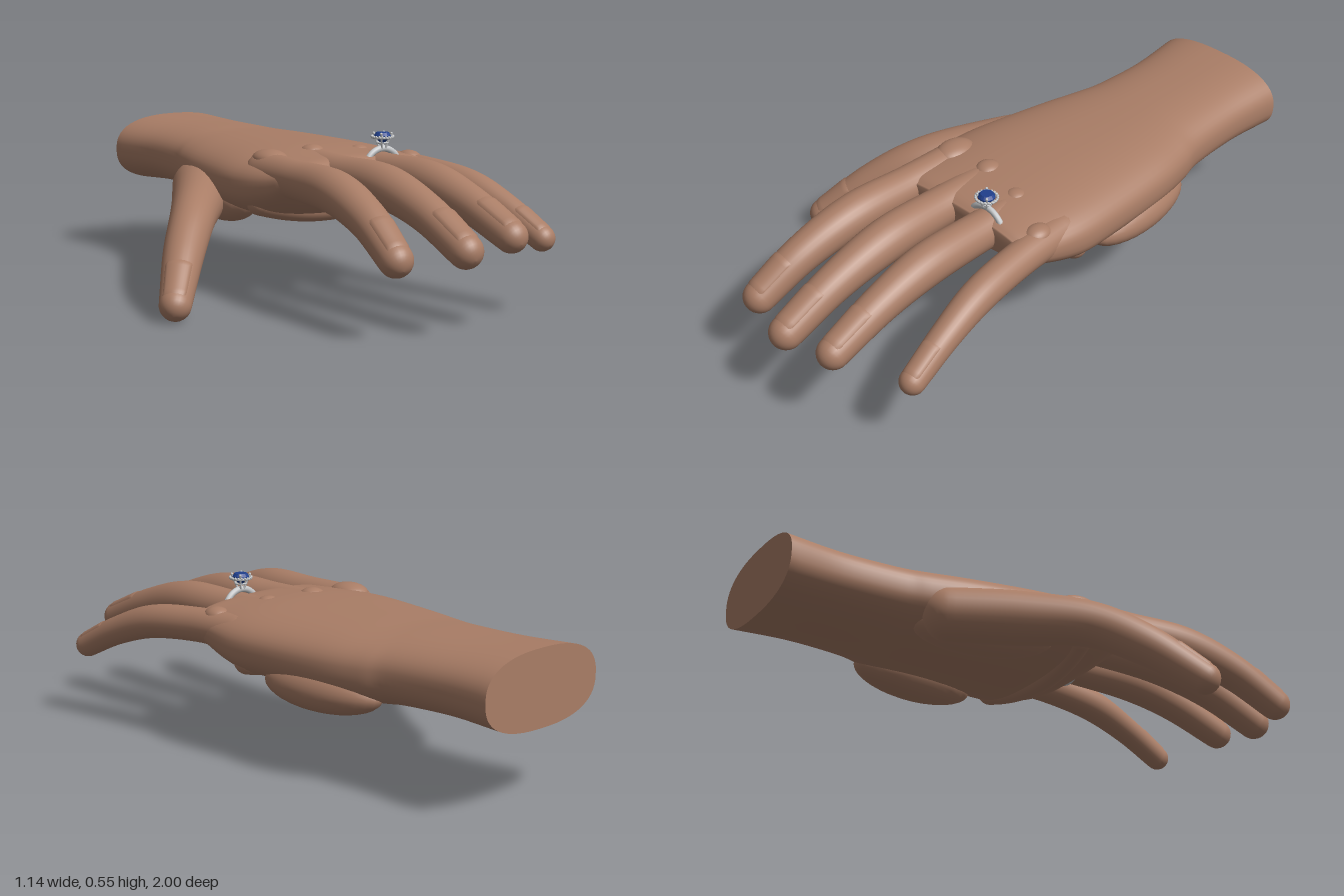
import * as THREE from 'three';

const V = (x, y, z) => new THREE.Vector3(x, y, z);
const skin = new THREE.MeshStandardMaterial({ color: 0xa97d66 });
const silver = new THREE.MeshStandardMaterial({ color: 0xc4c6c8 });
const sapphire = new THREE.MeshStandardMaterial({ color: 0x1f3f8c });
skin.name = 'skin'; silver.name = 'silver'; sapphire.name = 'sapphire';

function add(parent, name, geo, mat, pos) {
  const m = new THREE.Mesh(geo, mat);
  m.name = name;
  if (pos) m.position.copy(pos);
  parent.add(m);
  return m;
}

// Skin over a list of cross-sections with equal point counts
function loft(rings, closed = true) {
  const n = rings[0].length, idx = [];
  for (let i = 0; i < rings.length - 1; i++)
    for (let j = 0; j < (closed ? n : n - 1); j++) {
      const k = (j + 1) % n, a = i * n + j, b = i * n + k, c = b + n, d = a + n;
      idx.push(a, b, c, a, c, d);
    }
  const g = new THREE.BufferGeometry().setFromPoints(rings.flat());
  g.setIndex(idx);
  g.computeVertexNormals();
  return g;
}

// Points of a finger section: centre, direction, radius, angle range
function section(c, t, r, a0 = 0, a1 = Math.PI * 2, n = 28, open = false) {
  const side = V(0, 1, 0).cross(t).normalize();
  const up = t.clone().cross(side);
  return Array.from({ length: n }, (_, j) => {
    const a = a0 + (a1 - a0) * j / (open ? n - 1 : n);
    return c.clone().addScaledVector(side, r * Math.cos(a)).addScaledVector(up, r * Math.sin(a));
  });
}

// Finger along points [x, y, z, radius], rounded at both ends, with a raised nail
function finger(parent, name, pts, nailFrom) {
  const group = new THREE.Group();
  group.name = name;
  parent.add(group);
  const path = new THREE.CatmullRomCurve3(pts.map(p => V(p[0], p[1], p[2])), false, 'catmullrom');
  const radii = new THREE.CatmullRomCurve3(pts.map(p => V(p[3], 0, 0)), false, 'catmullrom');
  const at = u => [path.getPoint(u), path.getTangent(u), radii.getPoint(u).x];
  const rings = [];
  const dome = (u, k, dir) => {
    const [c, t, r] = at(u), a = k / 8 * Math.PI / 2;
    rings.push(section(c.addScaledVector(t, dir * r * Math.sin(a)), t, Math.max(r * Math.cos(a), 1e-5)));
  };
  for (let k = 8; k > 0; k--) dome(0, k, -1);
  for (let i = 0; i <= 40; i++) rings.push(section(...at(i / 40)));
  for (let k = 1; k <= 8; k++) dome(1, k, 1);
  add(group, name + 'Flesh', loft(rings), skin);

  const nail = [];
  for (let i = 0; i <= 12; i++) {
    const [c, t, r] = at(nailFrom + (1 - nailFrom) * i / 12);
    const edge = i === 0 || i === 12;
    const arc = section(c, t, r, Math.PI * 0.24, Math.PI * 0.76, 13, true);
    arc.forEach((p, j) => p.sub(c).multiplyScalar(edge || j === 0 || j === 12 ? 0.98 : 1.05).add(c));
    nail.push(arc);
  }
  add(group, name + 'Nail', loft(nail, false), skin);
}

function ellipsoid(parent, name, p, s, yaw = 0) {
  const m = add(parent, name, new THREE.SphereGeometry(1, 28, 18), skin, V(...p));
  m.scale.set(...s);
  m.rotation.y = yaw;
}

// Forearm and palm: rounded sections [z, x0, x1, y0, y1]
function buildPalm(parent) {
  const rows = [
    [-1, -0.03, 0.48, 0.255, 0.503], [-0.8, -0.01, 0.47, 0.265, 0.497],
    [-0.6, -0.022, 0.478, 0.26, 0.495], [-0.5, -0.05, 0.5, 0.252, 0.493],
    [-0.35, -0.09, 0.525, 0.25, 0.495], [-0.1, -0.14, 0.54, 0.25, 0.497],
    [0.05, -0.145, 0.54, 0.255, 0.495], [0.18, -0.127, 0.52, 0.295, 0.486],
    [0.25, -0.11, 0.505, 0.34, 0.478], [0.285, -0.07, 0.47, 0.37, 0.462],
  ];
  const xs = new THREE.CatmullRomCurve3(rows.map(r => V(r[1], r[2], r[0])), false, 'catmullrom');
  const ys = new THREE.CatmullRomCurve3(rows.map(r => V(r[3], r[4], r[0])), false, 'catmullrom');
  const ring = (u, s = 1) => {
    const a = xs.getPoint(u), b = ys.getPoint(u);
    return Array.from({ length: 56 }, (_, j) => {
      const q = j / 56 * Math.PI * 2, c = Math.cos(q), d = Math.sin(q);
      const round = v => Math.sign(v) * Math.pow(Math.abs(v), 0.8);
      return V((a.x + a.y) / 2 + s * round(c) * (a.y - a.x) / 2,
        (b.x + b.y) / 2 + s * round(d) * (b.y - b.x) / 2, a.z);
    });
  };
  const rings = Array.from({ length: 55 }, (_, i) => ring(i / 54));
  add(parent, 'palmAndForearm', loft([...rings, ring(1, 0.5), ring(1, 1e-4)]), skin);
  add(parent, 'wristCap', loft([ring(0, 1e-4), ring(0)]), skin);
}

function buildRing(parent) {
  const g = new THREE.Group();
  g.name = 'ring';
  g.position.set(0.295, 0, 0.255);
  parent.add(g);
  const band = add(g, 'band', new THREE.TorusGeometry(0.073, 0.011, 12, 64), silver, V(0, 0.424, 0));
  band.scale.z = 0.9;
  // Basket: four slanted prongs and a small collar
  for (let i = 0; i < 4; i++) {
    const a = Math.PI / 4 + i * Math.PI / 2, c = Math.cos(a), s = Math.sin(a);
    const prong = new THREE.LineCurve3(V(c * 0.01, 0.498, s * 0.01), V(c * 0.031, 0.549, s * 0.031));
    add(g, 'prong', new THREE.TubeGeometry(prong, 1, 0.0035, 8), silver);
    add(g, 'prongTip', new THREE.SphereGeometry(0.0045, 10, 8), silver, V(c * 0.03, 0.549, s * 0.03));
  }
  const flatRing = (name, r, t, y) => {
    add(g, name, new THREE.TorusGeometry(r, t, 8, 40).rotateX(Math.PI / 2), silver, V(0, y, 0));
  };
  flatRing('collar', 0.019, 0.003, 0.517);
  flatRing('halo', 0.035, 0.004, 0.535);
  for (let i = 0; i < 20; i++) {
    const a = i / 20 * Math.PI * 2;
    add(g, 'haloBead', new THREE.SphereGeometry(0.0045, 8, 6), silver,
      V(Math.cos(a) * 0.036, 0.538, Math.sin(a) * 0.036));
  }
  // Faceted stone
  const profile = [[0, 0.51], [0.029, 0.538], [0.029, 0.542], [0.021, 0.552], [0, 0.552]];
  const gem = new THREE.LatheGeometry(profile.map(p => new THREE.Vector2(...p)), 16).toNonIndexed();
  gem.computeVertexNormals();
  add(g, 'stone', gem, sapphire);
}

export function createModel() {
  const hand = new THREE.Group();
  hand.name = 'handWithRing';
  buildPalm(hand);

  // Fingers
  finger(hand, 'indexFinger', [[-0.04, 0.418, 0.05, 0.07], [-0.052, 0.417, 0.27, 0.066],
    [-0.068, 0.408, 0.5, 0.071], [-0.09, 0.35, 0.7, 0.063], [-0.112, 0.255, 0.87, 0.055]], 0.82);
  finger(hand, 'middleFinger', [[0.125, 0.422, 0.05, 0.07], [0.115, 0.42, 0.28, 0.068],
    [0.113, 0.415, 0.52, 0.072], [0.107, 0.36, 0.74, 0.063], [0.1, 0.272, 0.94, 0.056]], 0.82);
  finger(hand, 'ringFinger', [[0.295, 0.42, 0.05, 0.066], [0.295, 0.418, 0.28, 0.066],
    [0.295, 0.414, 0.52, 0.07], [0.296, 0.37, 0.72, 0.061], [0.297, 0.295, 0.92, 0.053]], 0.82);
  finger(hand, 'littleFinger', [[0.455, 0.4, 0.08, 0.062], [0.468, 0.4, 0.27, 0.058],
    [0.488, 0.38, 0.48, 0.057], [0.508, 0.325, 0.65, 0.049], [0.525, 0.25, 0.805, 0.043]], 0.82);
  finger(hand, 'thumb', [[-0.02, 0.31, -0.42, 0.092], [-0.14, 0.3, -0.22, 0.092],
    [-0.28, 0.27, -0.03, 0.077], [-0.4, 0.18, 0.11, 0.068], [-0.515, 0.054, 0.25, 0.053]], 0.84);

  // Palm pads
  ellipsoid(hand, 'thumbPad', [0, 0.295, -0.28], [0.1, 0.085, 0.25], -0.25);
  ellipsoid(hand, 'outerPalmPad', [0.45, 0.288, -0.3], [0.09, 0.076, 0.235], 0.08);
  const ridge = new THREE.QuadraticBezierCurve3(V(-0.07, 0.32, 0.06), V(0.2, 0.24, 0.1), V(0.47, 0.32, 0.03));
  add(hand, 'knucklePad', new THREE.TubeGeometry(ridge, 32, 0.045, 16), skin);
  ellipsoid(hand, 'knucklePadEnd', [-0.07, 0.32, 0.06], [0.045, 0.045, 0.045]);
  ellipsoid(hand, 'knucklePadEnd', [0.47, 0.32, 0.03], [0.045, 0.045, 0.045]);

  // Knuckles
  ellipsoid(hand, 'knuckle', [-0.035, 0.465, 0.07], [0.055, 0.033, 0.075]);
  ellipsoid(hand, 'knuckle', [0.13, 0.478, 0.08], [0.042, 0.026, 0.045]);
  ellipsoid(hand, 'knuckle', [0.295, 0.475, 0.12], [0.035, 0.02, 0.035]);
  ellipsoid(hand, 'knuckle', [0.458, 0.443, 0.19], [0.04, 0.03, 0.05]);

  buildRing(hand);
  return hand;
}
